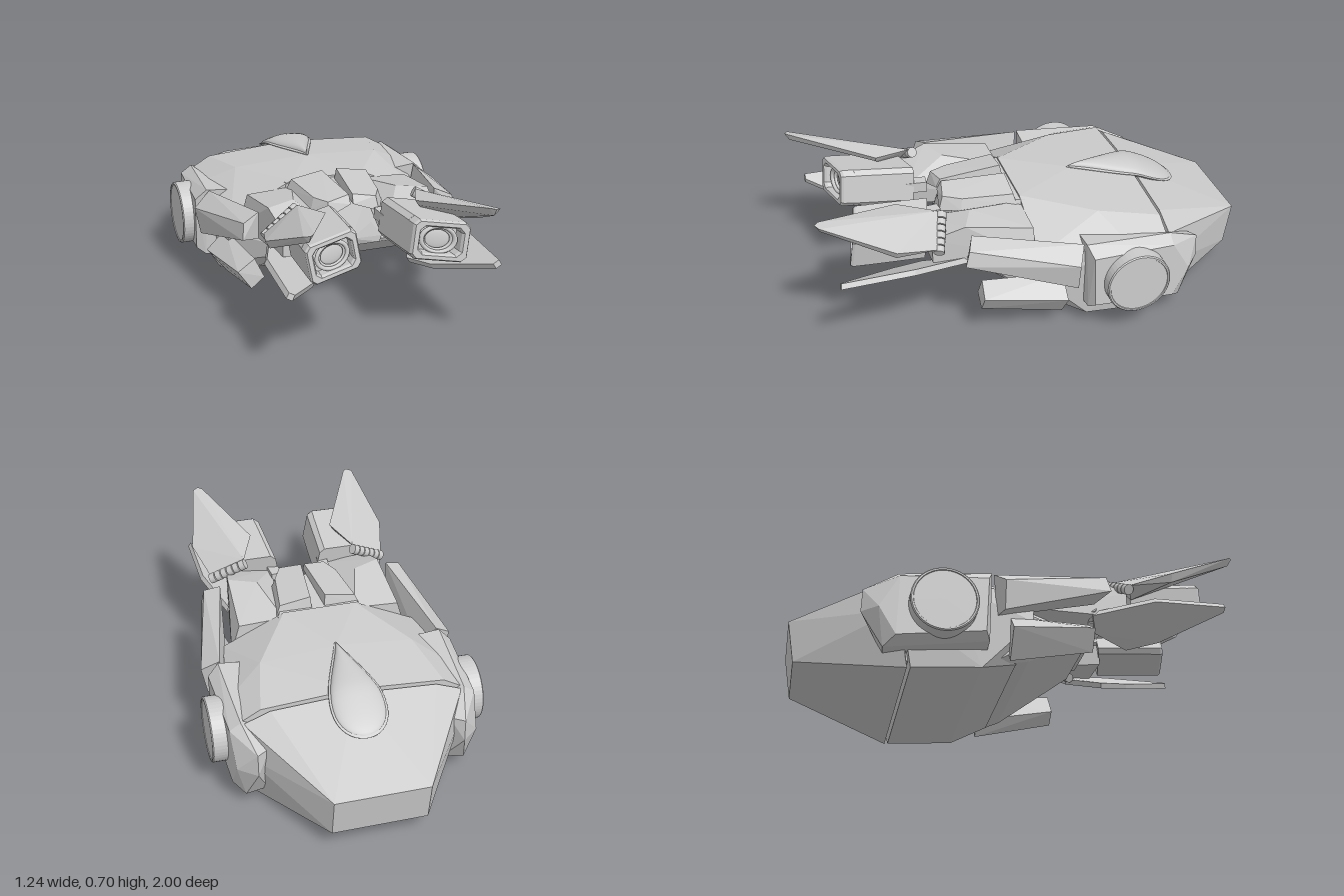
import * as THREE from 'three';
import { ConvexGeometry } from 'three/addons/geometries/ConvexGeometry.js';
import { mergeGeometries } from 'three/addons/utils/BufferGeometryUtils.js';

const V = (p) => new THREE.Vector3(...p);
const chunk = (pts) => new ConvexGeometry(pts.map(V));
// Convex block symmetric about x = 0
const symmetric = (pts) => chunk(pts.flatMap(([x, y, z]) => [[x, y, z], [-x, y, z]]));

// Mirrored copy across x = 0, with the corner order reversed
function mirror(geo) {
  const g = geo.index ? geo.toNonIndexed() : geo.clone();
  g.scale(-1, 1, 1);
  for (const a of Object.values(g.attributes)) {
    const n = a.itemSize;
    for (let i = 0; i < a.count; i += 3) {
      for (let k = 0; k < n; k++) {
        const p = (i + 1) * n + k, q = (i + 2) * n + k, t = a.array[p];
        a.array[p] = a.array[q];
        a.array[q] = t;
      }
    }
  }
  return g;
}

// Row of short rollers between two points
function rollers(a, b, count, r) {
  const dir = V(b).sub(V(a)), step = dir.length() / count;
  const q = new THREE.Quaternion().setFromUnitVectors(new THREE.Vector3(0, 1, 0), dir.clone().normalize());
  const parts = [];
  for (let i = 0; i < count; i++) {
    const g = new THREE.CylinderGeometry(r, r, step * 0.85, 14);
    g.applyQuaternion(q);
    g.translate(...V(a).addScaledVector(dir, (i + 0.5) / count).toArray());
    parts.push(g);
  }
  return mergeGeometries(parts);
}

// Rectangle with cut corners
function cutRect(Path, w, h, c) {
  const p = new Path(), x = w / 2, y = h / 2;
  p.setFromPoints([[-x + c, -y], [x - c, -y], [x, -y + c], [x, y - c], [x - c, y], [-x + c, y], [-x, y - c], [-x, -y + c]]
    .map((a) => new THREE.Vector2(...a)));
  p.closePath();
  return p;
}

export function createModel() {
  const group = new THREE.Group();
  const grey = new THREE.MeshStandardMaterial({ color: 0xcccccc });
  grey.name = 'grey armour';

  const add = (name, geo) => {
    const m = new THREE.Mesh(geo, grey);
    m.name = name;
    group.add(m);
  };
  const pair = (name, geo) => {
    add(name + 'Left', geo);
    add(name + 'Right', mirror(geo));
  };

  // Hull in two plates with a seam between them
  add('rearHull', symmetric([
    [0.21, 0.29, -1], [0.21, 0.10, -0.97], [0.37, 0.458, -0.55], [0, 0.482, -0.55],
    [0.49, 0.41, -0.55], [0.5, 0.25, -0.55], [0.46, 0.003, -0.5], [0, 0.018, -0.5],
  ]));
  add('hullCore', symmetric([
    [0.3, 0.42, -0.57], [0.45, 0.37, -0.57], [0.43, 0.05, -0.54],
    [0.3, 0.44, -0.5], [0.45, 0.39, -0.5], [0.43, 0.04, -0.42],
  ]));
  add('frontHull', symmetric([
    [0, 0.492, -0.535], [0.41, 0.462, -0.535], [0.5, 0.41, -0.535], [0.51, 0.25, -0.535], [0.46, 0.005, -0.485],
    [0, 0.525, -0.25], [0.35, 0.5, -0.26], [0.52, 0.4, -0.36],
    [0, 0.53, 0.05], [0.17, 0.53, 0.05], [0.46, 0.39, 0.05], [0.47, 0.26, 0.04],
    [0.46, 0.03, -0.18], [0.38, 0.09, -0.02],
  ]));
  add('chinWedge', symmetric([
    [0.2, 0.33, 0.36], [0.22, 0.31, 0.35], [0.37, 0.115, 0.04], [0.44, 0.16, 0.03], [0.45, 0.3, 0.03],
    [0.44, 0.04, -0.18], [0.4, 0.4, -0.1],
  ]));
  add('nose', symmetric([
    [0.085, 0.53, 0.34], [0.1, 0.42, 0.365], [0.15, 0.35, 0.37], [0.14, 0.32, 0.37], [0, 0.36, 0.385],
    [0.2, 0.52, 0.03], [0.25, 0.3, 0.03],
  ]));

  // Teardrop dome and its thin flange, following the roof
  const teardrop = (grow, height) => {
    const g = new THREE.SphereGeometry(1, 40, 24);
    g.rotateX(Math.PI / 2);
    const p = g.attributes.position;
    for (let i = 0; i < p.count; i++) {
      const s = p.getZ(i), z = -0.495 + (0.255 + grow) * s;
      const roof = z > -0.55 ? 0.527 + (z + 0.25) * 0.125 : 0.489 + (z + 0.55) * 0.42;
      p.setXYZ(i, p.getX(i) * (0.092 + grow - 0.08 * s), roof + p.getY(i) * height, z);
    }
    g.computeVertexNormals();
    return g;
  };
  add('roofDome', teardrop(0, 0.038));
  add('roofDomeFlange', teardrop(0.01, 0.012));

  // Side pods: a flat outer face on a wider base, with round caps
  pair('sidePod', chunk([
    [0.57, 0.40, -0.17], [0.57, 0.15, -0.18], [0.55, 0.11, -0.56], [0.54, 0.24, -0.635], [0.55, 0.385, -0.55],
    [0.52, 0.45, -0.15], [0.53, 0.12, -0.16], [0.5, 0.07, -0.61], [0.46, 0.245, -0.705], [0.46, 0.35, -0.7], [0.5, 0.42, -0.55],
    [0.42, 0.44, -0.15], [0.42, 0.1, -0.16], [0.4, 0.08, -0.6], [0.4, 0.35, -0.66],
  ]));
  const cap = new THREE.LatheGeometry([[0.147, 0], [0.147, 0.135], [0.142, 0.14], [0.135, 0.14], [0.133, 0.136], [0, 0.136]]
    .map((a) => new THREE.Vector2(...a)), 48).toNonIndexed();
  cap.computeVertexNormals();
  cap.rotateZ(-Math.PI / 2);
  cap.translate(0.48, 0.26, -0.365);
  pair('roundCap', cap);

  // Shoulder plates and lower struts
  pair('shoulderPlate', chunk([
    [0.51, 0.45, -0.14], [0.59, 0.39, -0.1], [0.565, 0.26, -0.1], [0.47, 0.27, -0.12],
    [0.41, 0.53, 0.34], [0.485, 0.5, 0.37], [0.495, 0.43, 0.39], [0.41, 0.4, 0.33],
  ]));
  pair('lowerStrut', chunk([
    [0.42, 0.29, 0.3], [0.38, 0.2, 0.31], [0.44, 0.15, 0.31], [0.5, 0.24, 0.31],
    [0.46, 0.28, -0.06], [0.41, 0.14, -0.06], [0.46, 0.07, -0.06], [0.55, 0.19, -0.06],
  ]));

  // Forearms and neck panels
  pair('forearm', chunk([
    [0.17, 0.5, 0.05], [0.38, 0.49, 0.05], [0.42, 0.35, 0.05], [0.17, 0.32, 0.05],
    [0.24, 0.55, 0.3], [0.37, 0.55, 0.355], [0.13, 0.48, 0.5], [0.35, 0.5, 0.5], [0.35, 0.38, 0.5], [0.15, 0.37, 0.5],
  ]));
  const elbow = new THREE.BoxGeometry(0.05, 0.05, 0.13);
  elbow.rotateY(0.1);
  elbow.translate(0.125, 0.485, 0.475);
  pair('elbowBlock', elbow);
  pair('neckPanel', chunk([
    [0.035, 0.575, 0.08], [0.18, 0.55, 0.08], [0.2, 0.5, 0.07], [0.03, 0.52, 0.07],
    [0.008, 0.57, 0.37], [0.006, 0.53, 0.39], [0.11, 0.555, 0.39], [0.12, 0.49, 0.41],
    [0.15, 0.55, 0.31], [0.165, 0.5, 0.32],
  ]));

  // Square-fronted lamps: hollow box, rings and lens
  const place = (g) => {
    g.applyMatrix4(new THREE.Matrix4().makeShear(0, 0.25, 0, 0, 0, 0));
    g.applyMatrix4(new THREE.Matrix4().compose(V([0.234, 0.51, 0.825]),
      new THREE.Quaternion().setFromEuler(new THREE.Euler(-0.1, 0.05, -0.16)), V([1, 1, 1])));
    return g;
  };
  const shell = cutRect(THREE.Shape, 0.222, 0.16, 0.018);
  shell.holes.push(cutRect(THREE.Path, 0.185, 0.128, 0.022));
  const frame = new THREE.ExtrudeGeometry(shell, { depth: 0.06, bevelEnabled: true, bevelSize: 0.007, bevelThickness: 0.012, bevelSegments: 1 });
  frame.translate(0, 0, -0.07);
  pair('lampFrame', place(frame));
  const body = new THREE.ExtrudeGeometry(cutRect(THREE.Shape, 0.236, 0.174, 0.021), { depth: 0.27, bevelEnabled: false });
  body.translate(0, 0, -0.33);
  pair('lampBody', place(body));
  [[0.07, 0.01], [0.058, 0.007]].forEach(([r, t], i) => {
    const ring = new THREE.TorusGeometry(r, t, 10, 36);
    ring.scale(1, 0.78, 1);
    ring.translate(0, 0, -0.03 - i * 0.01);
    pair(i ? 'innerLampRing' : 'outerLampRing', place(ring));
  });
  const lens = new THREE.SphereGeometry(0.058, 28, 16);
  lens.scale(1, 0.78, 0.15);
  lens.translate(0, 0, -0.052);
  pair('lampLens', place(lens));

  // Upper and lower blades with their hinges
  pair('upperBlade', chunk([
    [0.27, 0.59, 0.45], [0.43, 0.5, 0.49], [0.48, 0.555, 0.68], [0.415, 0.7, 0.985], [0.37, 0.705, 0.98],
    [0.2, 0.615, 0.62], [0.39, 0.705, 1], [0.39, 0.67, 0.98], [0.35, 0.47, 0.52], [0.46, 0.52, 0.68], [0.215, 0.59, 0.62],
  ]));
  pair('upperHinge', rollers([0.265, 0.575, 0.435], [0.43, 0.48, 0.49], 6, 0.024));
  const t = [0.013, -0.022, 0.004];
  pair('lowerBlade', chunk([
    [0.455, 0.435, 0.92], [0.43, 0.42, 0.92], [0.45, 0.435, 0.6], [0.36, 0.385, 0.33], [0.28, 0.335, 0.36],
    [0.21, 0.298, 0.52], [0.26, 0.325, 0.66],
  ].flatMap((p) => [p, p.map((c, i) => c + t[i])])));
  pair('lowerHinge', rollers([0.24, 0.325, 0.37], [0.37, 0.4, 0.33], 5, 0.022));

  return group;
}
